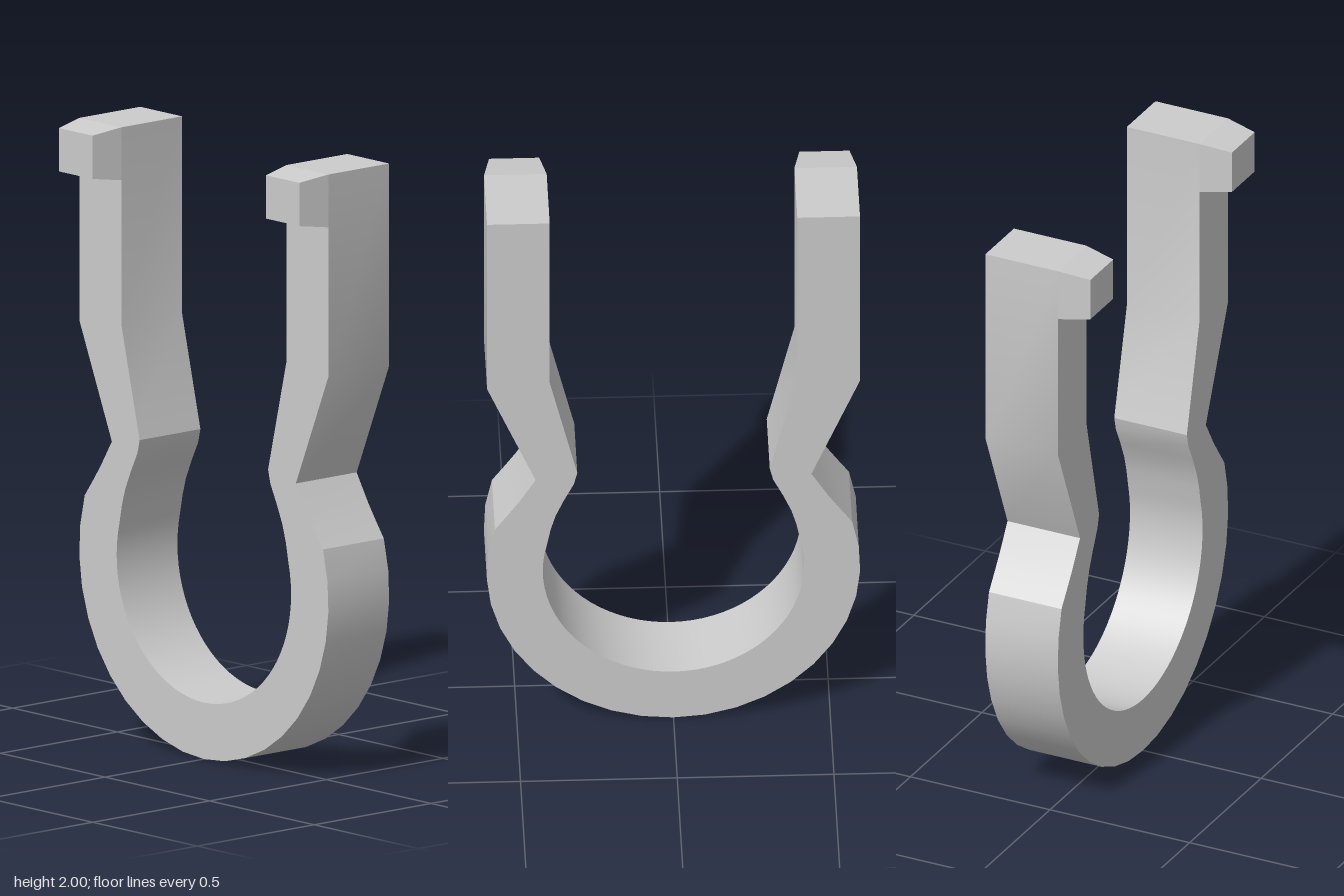
import * as THREE from 'three';
import { toCreasedNormals } from 'three/addons/utils/BufferGeometryUtils.js';

const BACK = -0.183, FRONT = 0.077, TIP = 0.183;
const INNER = 0.395, OUTER = 0.595;

// Points from the lower right side of a ring, under it, to the lower left side
function lowerArc(cy, radius, startAngle, segments) {
  const points = [];
  const sweep = Math.PI + 2 * startAngle;
  for (let i = 0; i <= segments; i++) {
    const a = startAngle - (sweep * i) / segments;
    points.push([radius * Math.cos(a), cy + radius * Math.sin(a)]);
  }
  return points;
}

// Adds the mirrored half of a profile after the arc that joins both sides
function symmetric(side, arc) {
  const mirrored = side.map(([x, y]) => [-x, y]).reverse();
  return [...side, ...arc, ...mirrored];
}

export function createModel() {
  const model = new THREE.Group();
  model.name = 'springClip';
  const material = new THREE.MeshStandardMaterial({ color: 0xcccccc });

  // Clip body: two arms, pinched neck and round cradle as one outline
  const outside = symmetric(
    [[OUTER, 2], [OUTER, 1.34], [0.44, 0.97], [0.495, 0.88], [0.53, 0.83]],
    lowerArc(0.6, 0.596, 0.298, 22)
  );
  const inside = symmetric(
    [[INNER, 2], [INNER, 1.36], [0.318, 1.04], [0.307, 0.995], [0.318, 0.95],
      [0.35, 0.885], [0.376, 0.825], [0.392, 0.77]],
    lowerArc(0.605, 0.417, 0.25, 44)
  );
  const outline = [...outside, ...inside.reverse()].map(([x, y]) => new THREE.Vector2(x, y));
  const bodyGeometry = new THREE.ExtrudeGeometry(new THREE.Shape(outline), {
    depth: FRONT - BACK, bevelEnabled: false,
  });
  bodyGeometry.translate(0, 0, BACK);
  const body = new THREE.Mesh(toCreasedNormals(bodyGeometry, 0.4), material);
  body.name = 'clipBody';
  model.add(body);

  // Hook blocks at the arm tips, tapering towards the front
  const width = OUTER - INNER, height = 0.172, depth = TIP - FRONT;
  const hookGeometry = new THREE.BoxGeometry(width, height, depth);
  const pos = hookGeometry.attributes.position;
  for (let i = 0; i < pos.count; i++) {
    if (pos.getZ(i) > 0) {
      pos.setX(i, pos.getX(i) * 0.8);
      pos.setY(i, pos.getY(i) * 0.82);
    }
  }
  const hookFlat = hookGeometry.toNonIndexed();
  hookFlat.computeVertexNormals();
  for (const [name, side] of [['leftHook', 1], ['rightHook', -1]]) {
    const hook = new THREE.Mesh(hookFlat, material);
    hook.name = name;
    hook.position.set(side * (INNER + OUTER) / 2, 2 - height / 2, (FRONT + TIP) / 2);
    model.add(hook);
  }
  return model;
}
